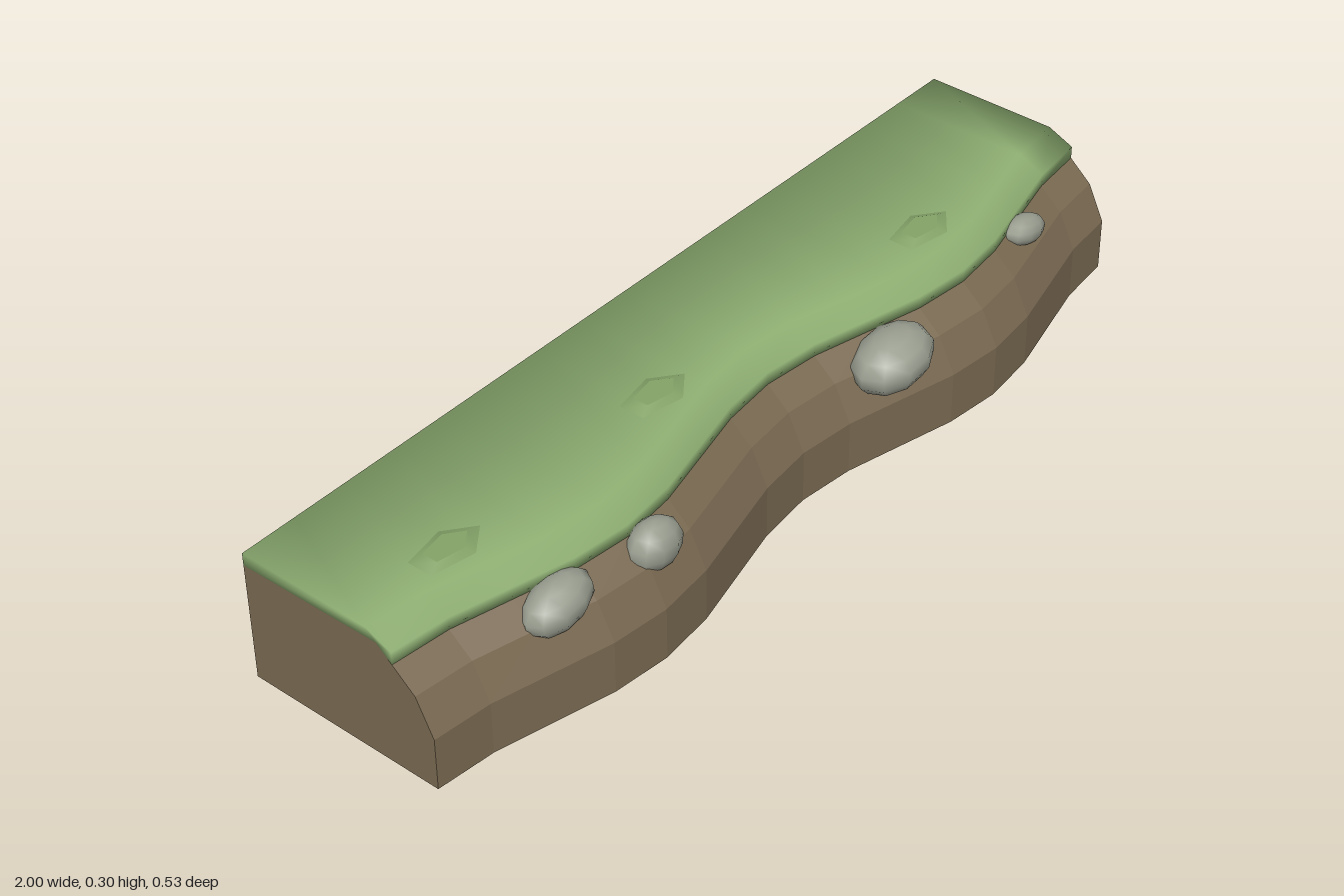
import * as THREE from 'three';

const SEGMENTS = 16;
const BACK = -0.265;

// Wavy front line of the bank
const frontZ = (x) => 0.2215 - 0.0435 * Math.cos(2 * Math.PI * x);

// Sweeps a cross-section along x. Each point is [inset from the front line, y],
// or ['back', y] for points on the straight rear wall.
// Points run from the front up, over the top, and round the back.
function sweep(profile) {
  const n = profile.length;
  const pos = [], faces = [];
  for (let i = 0; i <= SEGMENTS; i++) {
    const x = -1 + (2 * i) / SEGMENTS;
    for (const [inset, y] of profile) pos.push(x, y, inset === 'back' ? BACK : frontZ(x) - inset);
  }
  for (let i = 0; i < SEGMENTS; i++) {
    for (let j = 0; j < n; j++) {
      const a = i * n + j, b = i * n + ((j + 1) % n);
      faces.push([a, a + n, b + n, b]);
    }
  }
  // End caps
  const contour = profile.map((p, j) => new THREE.Vector2(pos[j * 3 + 2], pos[j * 3 + 1]));
  const last = SEGMENTS * n;
  for (const [a, b, c] of THREE.ShapeUtils.triangulateShape(contour, [])) {
    const p = contour[a], q = contour[b], r = contour[c];
    const ccw = (q.x - p.x) * (r.y - p.y) - (q.y - p.y) * (r.x - p.x) > 0;
    const t = ccw ? [a, b, c] : [a, c, b];
    faces.push(t, [t[2] + last, t[1] + last, t[0] + last]);
  }
  const index = [];
  for (const f of faces) {
    for (let k = 1; k < f.length - 1; k++) index.push(f[0], f[k], f[k + 1]);
  }
  const geo = new THREE.BufferGeometry();
  geo.setAttribute('position', new THREE.Float32BufferAttribute(pos, 3));
  geo.setIndex(index);
  // Equal-weight smooth normals: every face counts the same at its corners
  const sums = Array.from({ length: pos.length / 3 }, () => new THREE.Vector3());
  const at = (i) => new THREE.Vector3().fromArray(pos, i * 3);
  for (const f of faces) {
    const o = at(f[0]);
    const normal = at(f[1]).sub(o).cross(at(f[2]).sub(o)).normalize();
    for (const i of f) sums[i].add(normal);
  }
  geo.setAttribute('normal', new THREE.Float32BufferAttribute(
    sums.flatMap((v) => v.normalize().toArray()), 3));
  return geo;
}

export function createModel() {
  const group = new THREE.Group();
  const material = (name, color) => {
    const m = new THREE.MeshStandardMaterial({ color });
    m.name = name;
    return m;
  };
  const dirt = material('dirt', 0x7a6a52);
  const grass = material('grass', 0x8fb073);
  const tuftGreen = material('tuft green', 0x84a368);
  const stone = material('stone', 0x9a9e90);

  const add = (name, geo, mat) => {
    const mesh = new THREE.Mesh(geo, mat);
    mesh.name = name;
    group.add(mesh);
    return mesh;
  };

  // Earth body with a stepped, rounded front edge
  const earth = sweep([
    [0, 0], [0, 0.115], [0.038, 0.192], [0.088, 0.235],
    [0.123, 0.265], ['back', 0.26], ['back', 0],
  ]).toNonIndexed();
  earth.computeVertexNormals();
  add('earthBank', earth, dirt);

  // Turf layer draped over the top
  add('grassTop', sweep([
    [0.088, 0.235], [0.088, 0.262], [0.146, 0.287],
    ['back', 0.287], ['back', 0.26], [0.123, 0.265],
  ]), grass);

  // Low five-sided tufts pointing along +x
  for (const [x, z] of [[-0.769, 0], [-0.209, -0.007], [0.53, 0.05]]) {
    const geo = new THREE.CylinderGeometry(0.55, 1, 1, 5);
    geo.rotateY(Math.PI / 2);
    const tuft = add('grassTuft', geo, tuftGreen);
    tuft.scale.set(0.094, 0.012, 0.053);
    tuft.position.set(x, 0.29, z);
  }

  // Rounded stones set into the front slope: position, radii, tilt
  const stones = [
    [-0.685, 0.207, 0.175, 0.082, 0.049, 0.05, 0.15],
    [-0.46, 0.208, 0.203, 0.064, 0.052, 0.044, -0.1],
    [0.253, 0.199, 0.192, 0.1, 0.058, 0.07, 0.08],
    [0.738, 0.224, 0.155, 0.06, 0.032, 0.034, -0.2],
  ];
  for (const [x, y, z, rx, ry, rz, tilt] of stones) {
    const rock = add('stone', new THREE.SphereGeometry(1, 10, 7), stone);
    rock.scale.set(rx, ry, rz);
    rock.position.set(x, y, z);
    rock.rotation.z = tilt;
  }

  return group;
}
